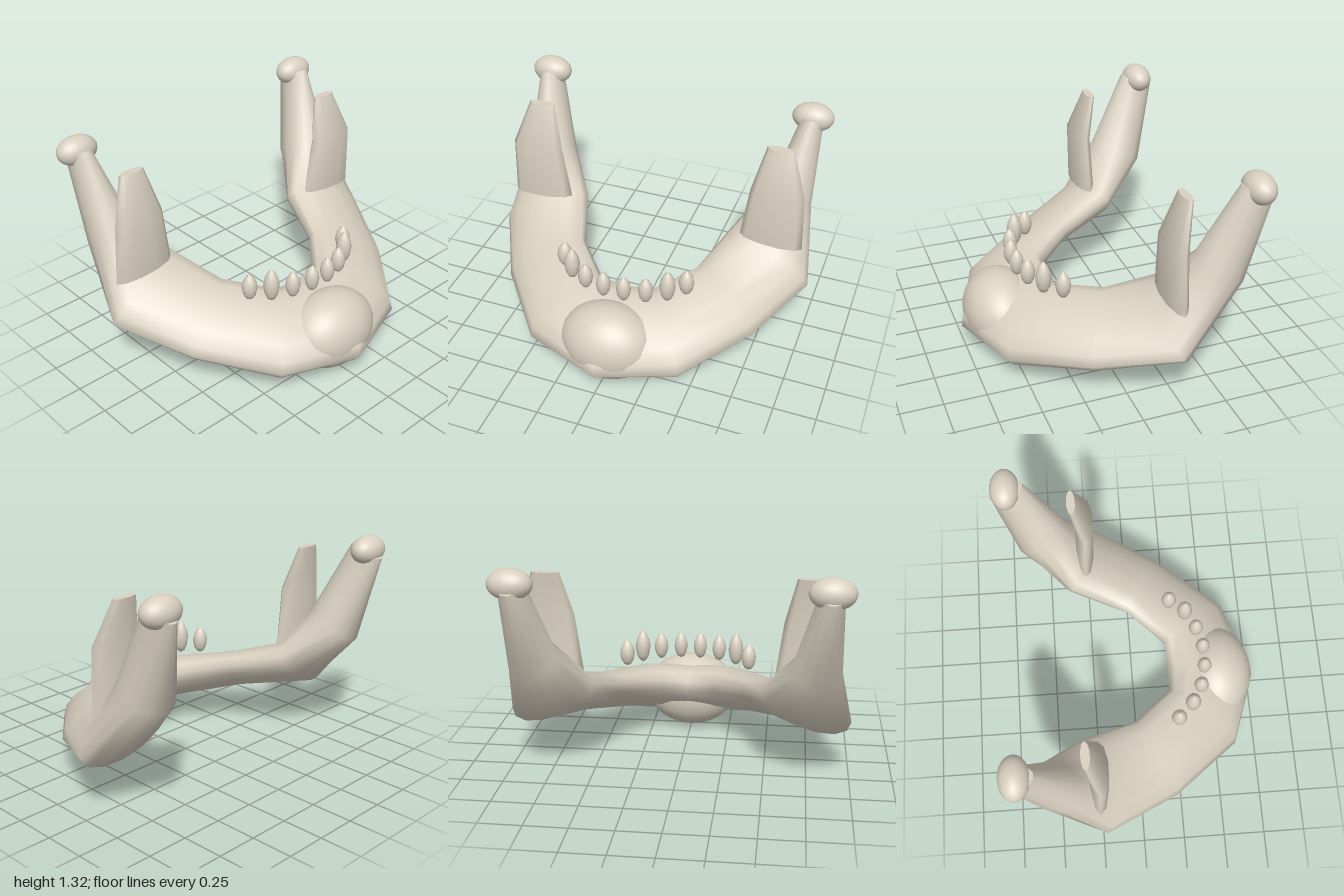
import * as THREE from 'three';

const bone = new THREE.MeshStandardMaterial({ color: 0xd9d0c0 });
bone.name = 'bone';

// Skin elliptical stations [centre, half axis u, half axis v] with flat end caps.
function loft(stations, sides) {
  const pos = [], index = [];
  const ring = ([c, u, v]) => {
    for (let j = 0; j < sides; j++) {
      const a = (j / sides) * Math.PI * 2, cu = Math.cos(a), sv = Math.sin(a);
      for (let k = 0; k < 3; k++) pos.push(c[k] + u[k] * cu + v[k] * sv);
    }
  };
  stations.forEach(ring);
  for (let i = 0; i < stations.length - 1; i++) {
    for (let j = 0; j < sides; j++) {
      const n = (j + 1) % sides;
      const a = i * sides + j, d = i * sides + n;
      const b = a + sides, e = d + sides;
      index.push(a, b, d, b, e, d);
    }
  }
  // caps get their own vertices so their rims stay sharp
  [stations[0], stations[stations.length - 1]].forEach((s, end) => {
    const base = pos.length / 3;
    ring(s);
    for (let j = 1; j < sides - 1; j++) {
      if (end) index.push(base, base + j + 1, base + j);
      else index.push(base, base + j, base + j + 1);
    }
  });
  const g = new THREE.BufferGeometry();
  g.setAttribute('position', new THREE.Float32BufferAttribute(pos, 3));
  g.setIndex(index);
  g.computeVertexNormals();
  return g;
}

export function createModel() {
  const model = new THREE.Group();
  model.name = 'jawbone';
  const add = (geometry, name, x = 0, y = 0, z = 0) => {
    const m = new THREE.Mesh(geometry, bone);
    m.name = name;
    m.position.set(x, y, z);
    model.add(m);
    return m;
  };

  // Body and both rami: one loft from the right tip round the front to the left tip
  const middle = [[0, 0.27, 0.49], [0, -0.12, 0.277], [0, 0.13, 0.04]];
  const half = [
    [[0.31, 0.29, 0.41], [0.15, -0.11, 0.2], [0, 0.13, 0.03]],
    [[0.57, 0.355, 0.1], [0.21, -0.1, 0.115], [0, 0.11, 0.02]],
    [[0.74, 0.46, -0.28], [0.26, -0.11, 0.06], [0, 0.11, 0.07]],
    [[0.785, 0.77, -0.51], [0.135, -0.02, 0.02], [0, 0.08, 0.15]],
    [[0.84, 1.235, -0.67], [0.065, 0, 0], [0, 0.035, 0.1]],
  ];
  const mirrored = half.map(([c, u, v]) => [[-c[0], c[1], c[2]], [-u[0], u[1], u[2]], v]).reverse();
  add(loft([...mirrored, middle, ...half], 14), 'jawBody');

  // Chin boss
  add(new THREE.SphereGeometry(1, 32, 20), 'chin', 0, 0.237, 0.525).scale.set(0.29, 0.235, 0.222);

  // Tooth profile: rounded root, pointed crown
  const profile = [[0, -0.5], [0.5, -0.42], [0.82, -0.27], [1, -0.02], [0.85, 0.2], [0.5, 0.38], [0, 0.5]]
    .map(([r, y]) => new THREE.Vector2(r, y));
  const tooth = new THREE.LatheGeometry(profile, 14);
  const teeth = [
    ['incisor', 0.062, 0.43, 0.043, 0.17, 0.565],
    ['lateralIncisor', 0.185, 0.4, 0.044, 0.17, 0.565],
    ['canine', 0.295, 0.34, 0.047, 0.21, 0.58],
    ['premolar', 0.38, 0.25, 0.046, 0.17, 0.562],
  ];

  for (const [side, s] of [['left', 1], ['right', -1]]) {
    // Condyle on top of the ramus
    add(new THREE.SphereGeometry(1, 24, 16), side + 'Condyle', s * 0.84, 1.24, -0.675)
      .scale.set(0.125, 0.086, 0.086);

    // Coronoid blade
    const blade = [
      [0.742, 0.595, -0.252, 0.192, 0.056],
      [0.758, 0.95, -0.24, 0.16, 0.055],
      [0.742, 1.215, -0.304, 0.08, 0.026],
    ].map(([x, y, z, rx, rz], i) =>
      [[s * x, y, z], [rx, i ? 0 : -s * 0.013, 0], [0, 0, rz]]);
    add(loft(blade, 10), side + 'Coronoid');

    // Teeth
    for (const [name, x, z, r, h, y] of teeth) {
      add(tooth, side + '_' + name, s * x, y, z).scale.set(r, h, r);
    }
  }
  return model;
}
